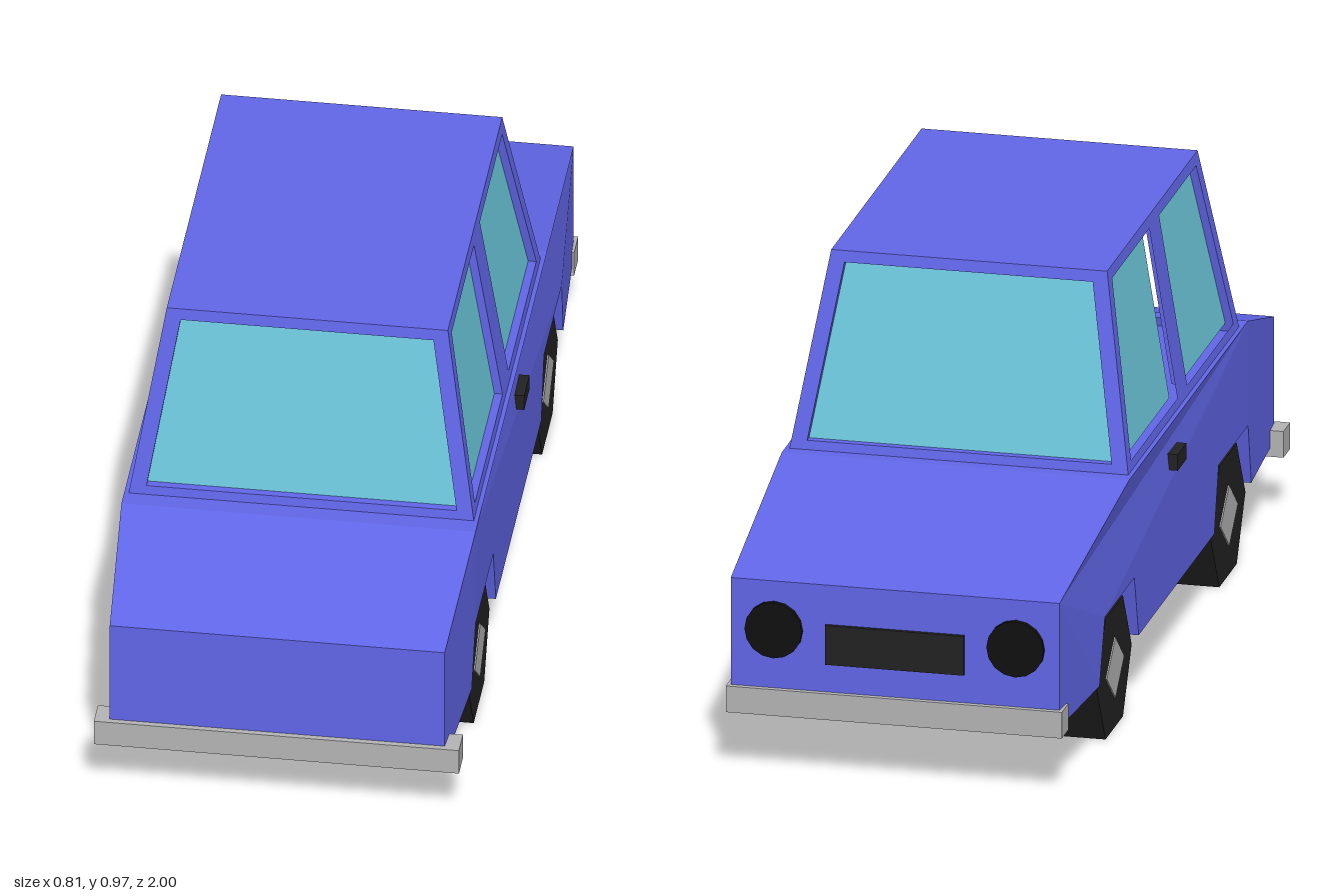
import * as THREE from 'three';

const mat = (color) => new THREE.MeshStandardMaterial({ color, flatShading: true });
const paint = mat(0x6166e8), glass = mat(0x6cc8dc), rubber = mat(0x222222);
const black = mat(0x101010), chrome = mat(0xb4b4b4);

const shapeOf = (pts) => new THREE.Shape(pts.map(([a, b]) => new THREE.Vector2(a, b)));

// Moves every vertex of a geometry by a rule
function warp(geo, rule) {
  const p = geo.attributes.position, v = new THREE.Vector3();
  for (let i = 0; i < p.count; i++) {
    rule(v.fromBufferAttribute(p, i));
    p.setXYZ(i, v.x, v.y, v.z);
  }
  geo.computeVertexNormals();
  return geo;
}

export function createModel() {
  const car = new THREE.Group();
  car.name = 'car';

  const add = (name, geo, material, x = 0, y = 0, z = 0) => {
    const m = new THREE.Mesh(geo, material);
    m.name = name;
    m.position.set(x, y, z);
    car.add(m);
    return m;
  };

  // Lower body: side profile (z, y) with wheel arches, narrowed at both ends
  const profile = shapeOf([
    [0.985, 0.155], [0.985, 0.44], [0.66, 0.54], [-0.43, 0.54], [-0.985, 0.44], [-0.985, 0.155],
    [-0.695, 0.155], [-0.655, 0.3], [-0.385, 0.3], [-0.345, 0.155],
    [0.35, 0.155], [0.39, 0.3], [0.66, 0.3], [0.7, 0.155],
  ]);
  const body = new THREE.ExtrudeGeometry(profile, { depth: 2, bevelEnabled: false });
  body.translate(0, 0, -1).rotateY(-Math.PI / 2);
  warp(body, (v) => {
    const t = Math.max(0, (Math.abs(v.z) - 0.66) / 0.325);
    v.x *= 0.388 - 0.021 * t;
  });
  add('body', body, paint);

  // Cabin: four leaning frames with recessed panes
  const y0 = 0.54, y1 = 0.97, w0 = 0.56, w1 = 0.945;
  function cabinWall(name, angle, low, high, outline, windows) {
    const lean = (v) => { v.z += low + (high - low) * (v.y - y0) / (y1 - y0); };
    const frame = shapeOf(outline);
    windows.forEach((w) => frame.holes.push(shapeOf(w)));
    const geo = new THREE.ExtrudeGeometry(frame, { depth: 0.035, bevelEnabled: false });
    geo.translate(0, 0, -0.035);
    add(name + 'Frame', warp(geo, lean).rotateY(angle), paint);
    windows.forEach((w) => {
      const pane = new THREE.ShapeGeometry(shapeOf(w)).translate(0, 0, -0.018);
      add(name + 'Window', warp(pane, lean).rotateY(angle), glass);
    });
  }
  const endOutline = [[-0.378, y0], [0.378, y0], [0.308, y1], [-0.308, y1]];
  const endWindow = [[-0.353, w0], [0.353, w0], [0.289, w1], [-0.289, w1]];
  cabinWall('front', 0, 0.618, 0.525, endOutline, [endWindow]);
  cabinWall('back', Math.PI, 0.4, 0.305, endOutline, [endWindow]);
  for (const s of [1, -1]) {
    const turn = (pts) => pts.map(([z, y]) => [-s * z, y]);
    cabinWall(s > 0 ? 'left' : 'right', s * Math.PI / 2, 0.378, 0.308,
      turn([[0.618, y0], [-0.4, y0], [-0.305, y1], [0.525, y1]]),
      [
        turn([[0.59, w0], [0.155, w0], [0.155, w1], [0.508, w1]]),
        turn([[0.065, w0], [-0.372, w0], [-0.286, w1], [0.065, w1]]),
      ]);
  }
  add('roof', new THREE.BoxGeometry(0.612, 0.02, 0.826), paint, 0, y1 - 0.01, 0.11);

  // Wheels with diamond hubs
  const tyre = new THREE.CylinderGeometry(0.16, 0.16, 0.148, 6).rotateZ(Math.PI / 2);
  const hub = new THREE.CylinderGeometry(0.08, 0.08, 0.01, 4).rotateZ(Math.PI / 2).scale(1, 0.87, 1);
  for (const s of [1, -1]) {
    for (const z of [0.525, -0.52]) {
      add('wheel', tyre, rubber, s * 0.302, 0.1386, z);
      add('hub', hub, chrome, s * 0.374, 0.1386, z);
    }
    // Door handles and round lamps
    add('doorHandle', new THREE.BoxGeometry(0.03, 0.037, 0.08), rubber, s * 0.389, 0.454, -0.012);
    add('lamp', new THREE.CylinderGeometry(0.064, 0.064, 0.02, 16).rotateX(Math.PI / 2),
      black, s * 0.27, 0.33, -0.986);
  }

  // Grille and bumpers
  add('grille', new THREE.BoxGeometry(0.31, 0.09, 0.02), rubber, 0, 0.305, -0.984);
  add('frontBumper', new THREE.BoxGeometry(0.8, 0.06, 0.062), chrome, 0, 0.165, 0.967);
  add('backBumper', new THREE.BoxGeometry(0.75, 0.06, 0.062), chrome, 0, 0.165, -0.967);

  return car;
}
